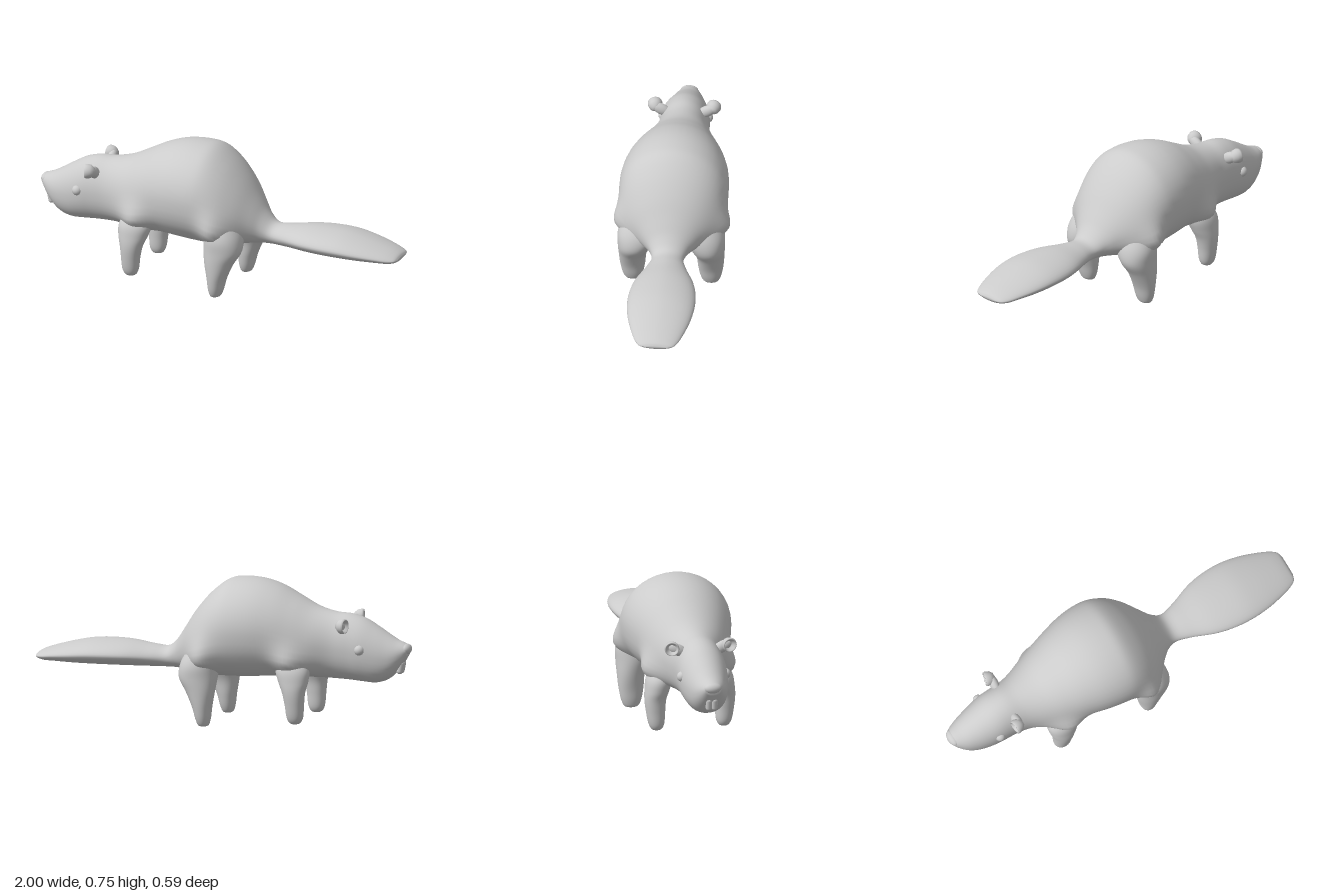
import * as THREE from 'three';

const material = new THREE.MeshStandardMaterial({ color: 0xcccccc });
const SIDES = 40;

// Skin closed rings (counter-clockwise about the travel direction), capped at both ends
function loft(rings) {
  const pos = [], idx = [], n = SIDES, last = rings.length - 1;
  rings.forEach(r => r.forEach(p => pos.push(p.x, p.y, p.z)));
  for (let i = 0; i < last; i++) {
    for (let j = 0; j < n; j++) {
      const a = i * n + j, b = i * n + (j + 1) % n;
      idx.push(a, b, b + n, a, b + n, a + n);
    }
  }
  for (const [row, end] of [[0, false], [last, true]]) {
    const mid = new THREE.Vector3();
    rings[row].forEach(p => mid.addScaledVector(p, 1 / n));
    const c = pos.length / 3;
    pos.push(mid.x, mid.y, mid.z);
    for (let j = 0; j < n; j++) {
      const a = row * n + j, b = row * n + (j + 1) % n;
      idx.push(c, end ? a : b, end ? b : a);
    }
  }
  const g = new THREE.BufferGeometry();
  g.setAttribute('position', new THREE.Float32BufferAttribute(pos, 3));
  g.setIndex(idx);
  g.computeVertexNormals();
  return g;
}

// Point on a superellipse of exponent e, as [cos-like, sin-like]
function oval(j, e) {
  const a = j / SIDES * Math.PI * 2;
  return [Math.cos(a), Math.sin(a)].map(v => Math.sign(v) * Math.abs(v) ** (2 / e));
}

// Smooth a list of [a, b, c] rows into many
function smooth(rows, count) {
  return new THREE.CatmullRomCurve3(rows.map(r => new THREE.Vector3(...r))).getPoints(count);
}

// Muscle swellings where the limbs join: [x, y, reach x, reach y, amount]
const SWELLINGS = [[-0.41, 0.31, 0.085, 0.1, 0.085], [0.06, 0.31, 0.085, 0.12, 0.09]];

function swelling(x, y) {
  return SWELLINGS.reduce((sum, [cx, cy, rx, ry, amount]) =>
    sum + amount * Math.exp(-(((x - cx) / rx) ** 2) - ((y - cy) / ry) ** 2), 0);
}

// Body and tail in one skin; stations are [x, top, bottom, half width]
function bodyGeometry(stations, count) {
  const outline = smooth(stations.map(s => [s[0], s[1], s[2]]), count);
  const widths = smooth(stations.map(s => [s[0], s[3], 0]), count);
  return loft(outline.map((o, i) => {
    const mid = (o.y + o.z) / 2, h = (o.y - o.z) / 2;
    const flat = THREE.MathUtils.smoothstep(o.x, 0.15, 0.45);
    return Array.from({ length: SIDES }, (_, j) => {
      const under = Math.abs(j / SIDES - 0.5) < 0.25;
      const [c, s] = oval(j, THREE.MathUtils.lerp(under ? 2.25 : 2, 1.8, flat));
      const y = mid + h * c;
      return new THREE.Vector3(o.x, y, (widths[i].y + swelling(o.x, y)) * s);
    });
  }));
}

// Upright limb; stations are [y, centre x, half x, centre z, half z]
function legGeometry(stations, side) {
  const inX = smooth(stations.map(s => [s[1], s[0], s[2]]), 40);
  const inZ = smooth(stations.map(s => [s[3], s[0], s[4]]), 40);
  return loft(inX.map((p, i) => Array.from({ length: SIDES }, (_, j) => {
    const [c, s] = oval(j, 2.1);
    return new THREE.Vector3(p.x + p.z * s, p.y, side * inZ[i].x + inZ[i].z * c);
  })));
}

const BODY = [
  [-0.985, 0.448, 0.395, 0.04], [-0.96, 0.458, 0.352, 0.059], [-0.925, 0.472, 0.305, 0.08],
  [-0.88, 0.498, 0.265, 0.097], [-0.82, 0.535, 0.245, 0.113], [-0.75, 0.573, 0.247, 0.125],
  [-0.68, 0.592, 0.252, 0.128], [-0.6, 0.597, 0.255, 0.137], [-0.5, 0.62, 0.257, 0.172],
  [-0.4, 0.668, 0.257, 0.207], [-0.3, 0.717, 0.254, 0.24], [-0.2, 0.745, 0.246, 0.267],
  [-0.1, 0.75, 0.24, 0.279], [-0.03, 0.738, 0.24, 0.274], [0.05, 0.68, 0.243, 0.25],
  [0.13, 0.59, 0.25, 0.2], [0.2, 0.485, 0.257, 0.138], [0.25, 0.412, 0.26, 0.098],
  [0.3, 0.37, 0.26, 0.082], [0.38, 0.372, 0.258, 0.103],
  [0.5, 0.386, 0.256, 0.15], [0.6, 0.389, 0.255, 0.17], [0.7, 0.384, 0.254, 0.173],
  [0.8, 0.365, 0.254, 0.16], [0.9, 0.338, 0.256, 0.132], [0.96, 0.318, 0.258, 0.108],
  [0.99, 0.303, 0.268, 0.085], [1.0, 0.29, 0.28, 0.055],
];
const FRONT_LEG = [
  [0.035, -0.432, 0.014, 0.175, 0.014], [0.041, -0.432, 0.028, 0.175, 0.026],
  [0.065, -0.432, 0.041, 0.176, 0.039], [0.14, -0.43, 0.05, 0.18, 0.05],
  [0.2, -0.426, 0.06, 0.18, 0.056], [0.25, -0.421, 0.077, 0.17, 0.063],
  [0.31, -0.412, 0.088, 0.155, 0.068], [0.37, -0.4, 0.07, 0.13, 0.06],
];
const BACK_LEG = [
  [0, 0.05, 0.014, 0.2, 0.02], [0.006, 0.051, 0.026, 0.2, 0.036],
  [0.035, 0.053, 0.037, 0.2, 0.051], [0.1, 0.058, 0.05, 0.2, 0.064],
  [0.18, 0.069, 0.075, 0.199, 0.072], [0.25, 0.084, 0.1, 0.186, 0.088],
  [0.32, 0.08, 0.1, 0.165, 0.108], [0.39, 0.06, 0.085, 0.145, 0.1],
  [0.45, 0.045, 0.06, 0.11, 0.09],
];

export function createModel() {
  const model = new THREE.Group();
  const add = (name, geometry, x = 0, y = 0, z = 0) => {
    const mesh = new THREE.Mesh(geometry, material);
    mesh.name = name;
    mesh.position.set(x, y, z);
    model.add(mesh);
    return mesh;
  };

  add('bodyAndTail', bodyGeometry(BODY, 130));
  add('nose', new THREE.SphereGeometry(1, 24, 16), -0.972, 0.425, 0).scale.set(0.028, 0.028, 0.046);

  // Cupped ear: rounded shell with a hollow front
  const earGeometry = new THREE.LatheGeometry([
    [0, -0.03], [0.02, -0.026], [0.034, -0.008], [0.038, 0.012], [0.036, 0.022],
    [0.031, 0.022], [0.024, 0.008], [0.012, -0.004], [0, -0.007],
  ].map(p => new THREE.Vector2(...p)), 28);
  earGeometry.rotateZ(Math.PI / 2);

  for (const [label, side] of [['left', 1], ['right', -1]]) {
    add(label + 'FrontLeg', legGeometry(FRONT_LEG, side));
    add(label + 'BackLeg', legGeometry(BACK_LEG, side));
    add(label + 'Eye', new THREE.SphereGeometry(0.027, 20, 14), -0.757, 0.425, side * 0.113);

    const ear = add(label + 'Ear', earGeometry, -0.673, 0.552, side * 0.148);
    ear.rotation.set(side * 0.5, side * 0.2, 0, 'YXZ');
    // Stalk joining the ear to the head
    const stalk = add(label + 'EarStalk', new THREE.SphereGeometry(1, 20, 14), -0.662, 0.537, side * 0.115);
    stalk.scale.set(0.024, 0.03, 0.058);
    stalk.rotation.x = -side * 0.5;

    // Rounded front tooth
    const tooth = add(label + 'Tooth', new THREE.CapsuleGeometry(0.016, 0.04, 6, 14), -0.946, 0.331, side * 0.015);
    tooth.rotation.z = 0.2;
  }
  return model;
}
